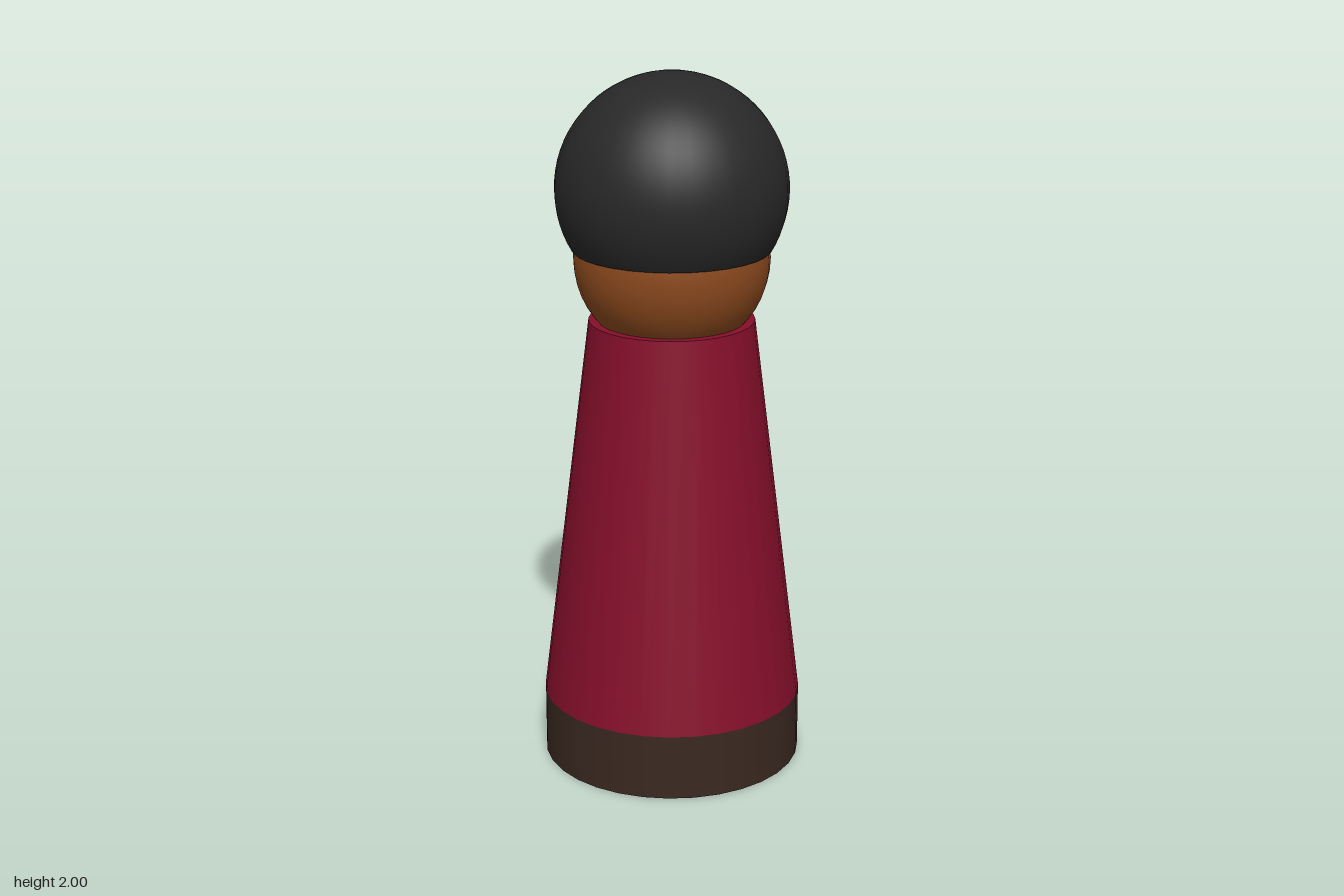
import * as THREE from 'three';

const SIDES = 32;

export function createModel() {
  const model = new THREE.Group();
  model.name = 'pegFigure';

  const add = (name, geometry, color, y, side = THREE.FrontSide) => {
    const material = new THREE.MeshStandardMaterial({ color, side });
    const mesh = new THREE.Mesh(geometry, material);
    mesh.name = name;
    mesh.position.y = y;
    model.add(mesh);
  };

  // Round foot
  add('base', new THREE.CylinderGeometry(0.372, 0.372, 0.19, SIDES), 0x3a2820, 0.095);

  // Tapered robe, closed on top
  add('robe', new THREE.CylinderGeometry(0.234, 0.372, 1.115, SIDES), 0x860f2b, 0.7475);

  // Head, sunk slightly into the robe
  add('head', new THREE.SphereGeometry(0.275, SIDES, 24), 0x8d4a1e, 1.483);

  // Hair: an open, larger sphere cut off below its middle
  const hair = new THREE.SphereGeometry(0.325, SIDES, 24, 0, Math.PI * 2, 0, 2.11);
  add('hair', hair, 0x282828, 1.675, THREE.DoubleSide);

  return model;
}
